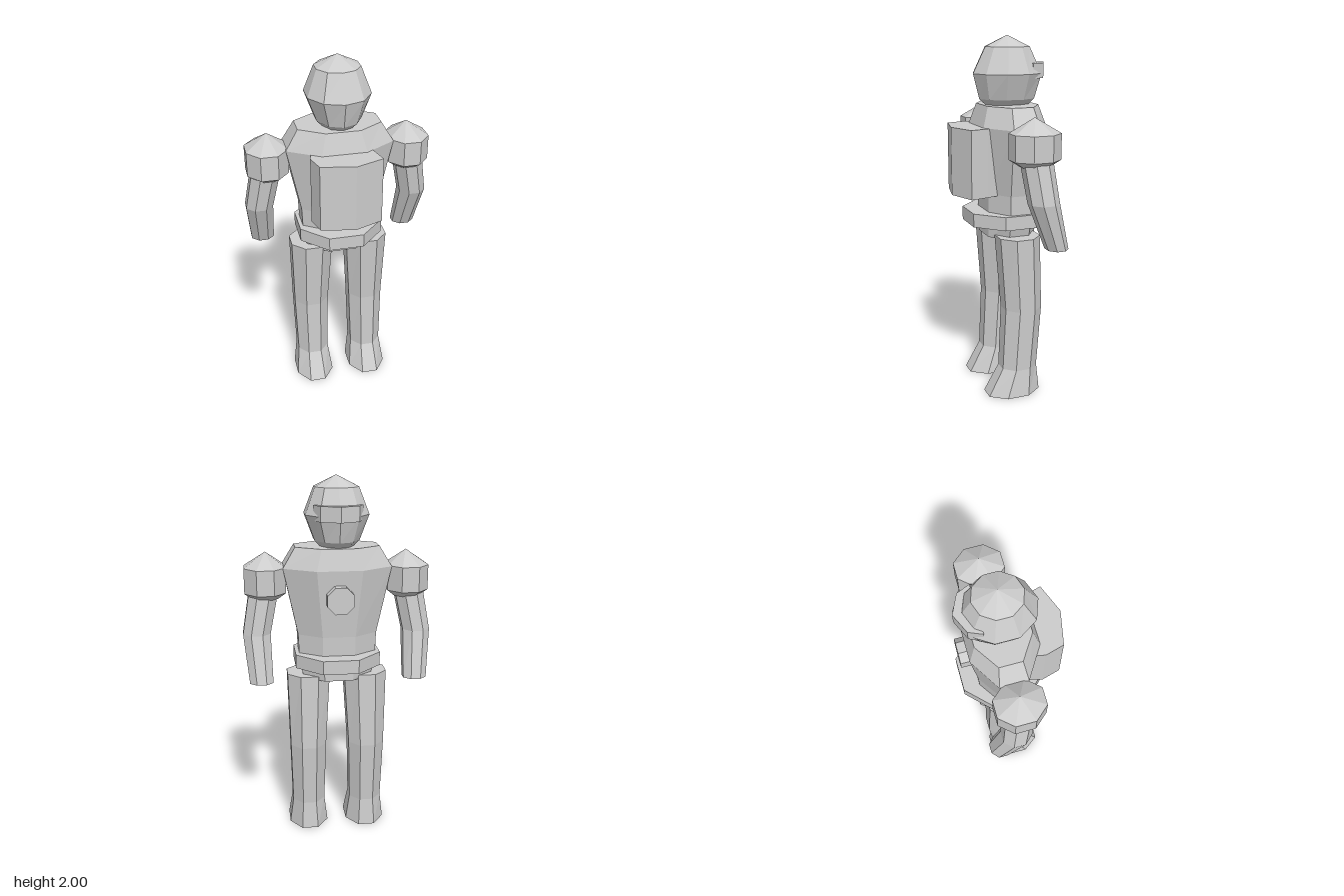
import * as THREE from 'three';

const grey = new THREE.MeshStandardMaterial({ color: 0xcccccc });
grey.name = 'light grey';

// Faceted body through horizontal rings [y, cx, cz, rx, rz], listed bottom to top
function loft(name, rings, sides, turn = 0) {
  const pos = [];
  const point = ([y, cx, cz, rx, rz], j) => {
    const a = ((j + turn) / sides) * Math.PI * 2;
    return [cx + rx * Math.sin(a), y, cz + rz * Math.cos(a)];
  };
  const centre = ([y, cx, cz]) => [cx, y, cz];
  const first = rings[0], last = rings[rings.length - 1];
  for (let j = 0; j < sides; j++) {
    for (let i = 0; i < rings.length - 1; i++) {
      const a = point(rings[i], j), b = point(rings[i], j + 1);
      const c = point(rings[i + 1], j + 1), d = point(rings[i + 1], j);
      pos.push(...a, ...b, ...c);
      if (rings[i + 1][3] > 0) pos.push(...a, ...c, ...d);
    }
    pos.push(...centre(first), ...point(first, j + 1), ...point(first, j));
    if (last[3] > 0) pos.push(...centre(last), ...point(last, j), ...point(last, j + 1));
  }
  const geo = new THREE.BufferGeometry();
  geo.setAttribute('position', new THREE.Float32BufferAttribute(pos, 3));
  geo.computeVertexNormals();
  const mesh = new THREE.Mesh(geo, grey);
  mesh.name = name;
  return mesh;
}

// Upright prism from a plan outline of [x, z] points
function prism(name, outline, y0, y1) {
  const shape = new THREE.Shape(outline.map(([x, z]) => new THREE.Vector2(x, -z)));
  const geo = new THREE.ExtrudeGeometry(shape, { depth: y1 - y0, bevelEnabled: false });
  geo.rotateX(-Math.PI / 2).translate(0, y0, 0);
  const mesh = new THREE.Mesh(geo, grey);
  mesh.name = name;
  return mesh;
}

export function createModel() {
  const model = new THREE.Group();
  model.name = 'figure';
  const cz = -0.05;

  // Head
  model.add(loft('head', [
    [1.61, 0, cz, 0.07, 0.1],
    [1.665, 0, cz, 0.125, 0.16],
    [1.80, 0, cz, 0.177, 0.195],
    [1.94, 0, cz, 0.122, 0.125],
    [2.0, 0, cz, 0, 0],
  ], 10));

  // Visor band wrapped around the far side of the head
  model.add(prism('visor', [
    [-0.13, -0.15], [-0.1, -0.22], [0, -0.265], [0.1, -0.22], [0.13, -0.15],
    [0.105, -0.15], [0.08, -0.19], [0, -0.22], [-0.08, -0.19], [-0.105, -0.15],
  ], 1.775, 1.855));

  // Torso, belt and pelvis
  model.add(loft('torso', [
    [1.0, 0, cz, 0.225, 0.15],
    [1.16, 0, cz, 0.232, 0.155],
    [1.525, 0, cz, 0.315, 0.195],
    [1.635, 0, cz, 0.243, 0.158],
  ], 8, 0.5));
  model.add(loft('belt', [
    [0.98, 0, cz, 0.25, 0.25],
    [1.055, 0, cz, 0.25, 0.25],
  ], 8, 0.5));
  model.add(loft('pelvis', [
    [0.91, 0, cz, 0.2, 0.15],
    [1.0, 0, cz, 0.225, 0.15],
  ], 8, 0.5));

  // Pack and the round dial opposite it
  model.add(prism('pack', [
    [-0.165, 0.06], [-0.185, 0.14], [-0.157, 0.242], [0.025, 0.28],
    [0.182, 0.22], [0.157, 0.12], [0.14, 0.06],
  ], 1.155, 1.525));
  const dialGeo = new THREE.CylinderGeometry(0.077, 0.077, 0.1, 8).toNonIndexed();
  dialGeo.computeVertexNormals();
  dialGeo.rotateY(Math.PI / 8).rotateX(Math.PI / 2);
  const dial = new THREE.Mesh(dialGeo, grey);
  dial.name = 'dial';
  dial.position.set(0, 1.375, -0.222);
  model.add(dial);

  // Limbs on both sides
  for (const [side, s] of [['left', 1], ['right', -1]]) {
    model.add(loft(side + 'Shoulder', [
      [1.355, s * 0.385, cz, 0.075, 0.08],
      [1.39, s * 0.385, cz, 0.12, 0.137],
      [1.525, s * 0.385, cz, 0.12, 0.137],
      [1.605, s * 0.38, cz, 0, 0],
    ], 8, 0.5));
    model.add(loft(side + 'Arm', [
      [0.915, s * 0.42, -0.165, 0.068, 0.062],
      [1.17, s * 0.437, -0.08, 0.08, 0.084],
      [1.42, s * 0.39, cz, 0.085, 0.087],
    ], 8, 0.5));
    model.add(loft(side + 'Leg', [
      [0, s * 0.165, -0.018, 0.119, 0.165],
      [0.155, s * 0.165, -0.053, 0.098, 0.111],
      [0.51, s * 0.165, -0.073, 0.108, 0.116],
      [0.93, s * 0.158, -0.05, 0.127, 0.125],
    ], 8, 0.5));
  }
  return model;
}
